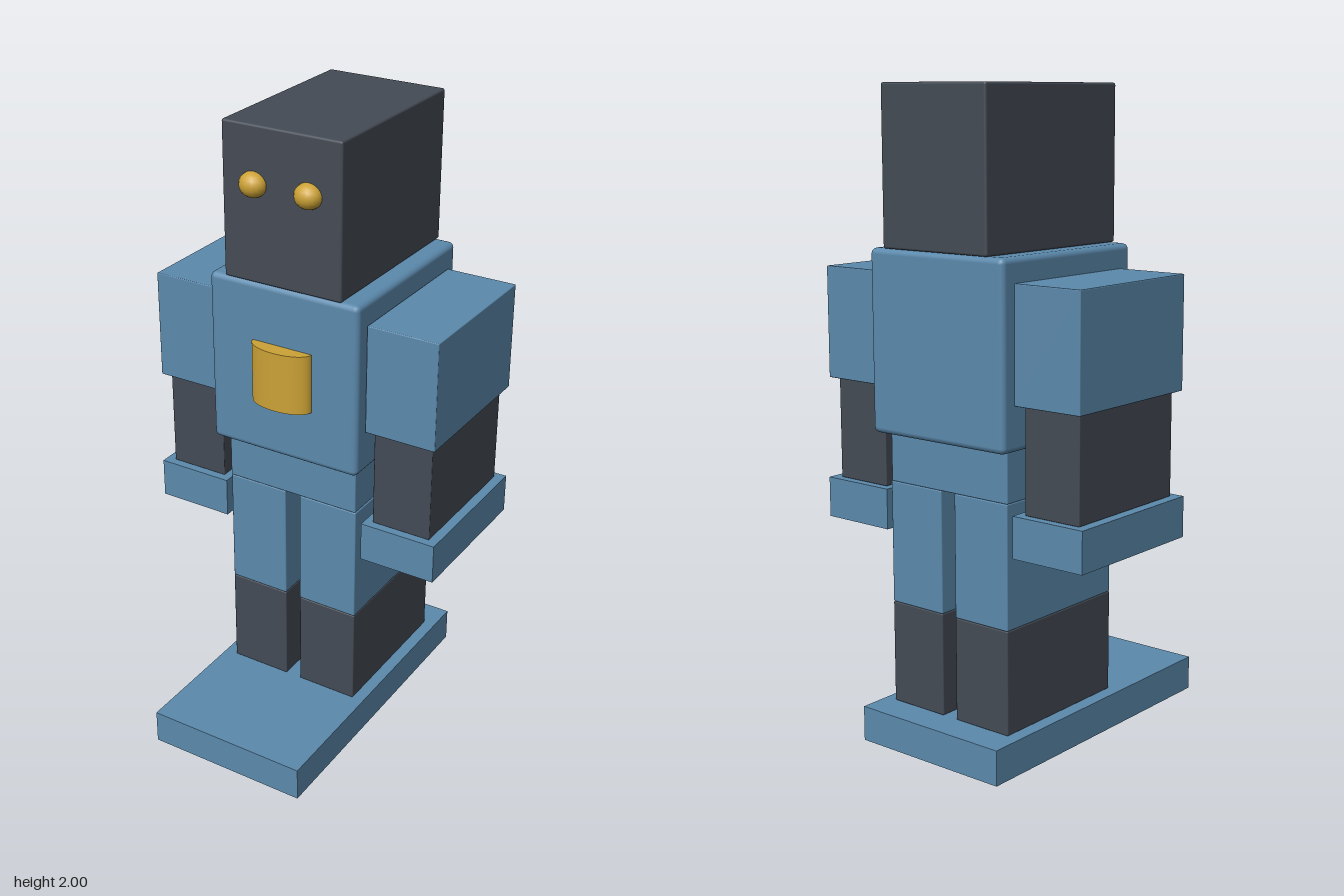
import * as THREE from 'three';
import { RoundedBoxGeometry } from 'three/addons/geometries/RoundedBoxGeometry.js';

export function createModel() {
  const robot = new THREE.Group();
  robot.name = 'robot';

  const paint = (name, color) => {
    const m = new THREE.MeshStandardMaterial({ color });
    m.name = name;
    return m;
  };
  const blue = paint('steel blue', 0x5b89ac);
  const dark = paint('charcoal', 0x444b55);
  const gold = paint('gold', 0xcca236);

  const add = (name, geometry, material) => {
    const mesh = new THREE.Mesh(geometry, material);
    mesh.name = name;
    robot.add(mesh);
    return mesh;
  };

  // Box given by its extents, with an optional softened edge
  const block = (name, material, [x0, x1], [y0, y1], [z0, z1], r = 0) => {
    const size = [x1 - x0, y1 - y0, z1 - z0];
    const geometry = r ? new RoundedBoxGeometry(...size, 2, r) : new THREE.BoxGeometry(...size);
    add(name, geometry, material).position.set((x0 + x1) / 2, (y0 + y1) / 2, (z0 + z1) / 2);
  };

  const limbDepth = [-0.4, 0.1];
  const bodyDepth = [-0.45, 0.148];

  // Base, hips, chest and head
  block('base', blue, [-0.27, 0.267], [0, 0.11], [-0.5, 0.5]);
  block('hips', blue, [-0.23, 0.227], [0.815, 0.975], limbDepth, 0.004);
  block('torso', blue, [-0.258, 0.255], [0.97, 1.525], bodyDepth, 0.018);
  block('head', dark, [-0.2, 0.198], [1.525, 2], bodyDepth, 0.007);

  // Elliptical chest plate, half sunk into the torso
  const plate = add('chestPlate', new THREE.CylinderGeometry(0.102, 0.102, 0.19, 48), gold);
  plate.scale.z = 0.5;
  plate.position.set(-0.002, 1.245, 0.148);

  // Mirrored limbs and eyes
  for (const [side, s] of [['left', 1], ['right', -1]]) {
    const span = (a, b) => (s > 0 ? [a, b] : [-b, -a]);
    block(side + 'UpperArm', blue, span(0.257, 0.489), [1.105, 1.452], limbDepth, 0.003);
    block(side + 'Forearm', dark, span(0.275, 0.47), [0.785, 1.105], [-0.375, 0.074], 0.003);
    block(side + 'Hand', blue, span(0.249, 0.5), [0.658, 0.785], limbDepth);
    block(side + 'Thigh', blue, span(0.026, 0.229), [0.433, 0.815], limbDepth, 0.004);
    block(side + 'Shin', dark, span(0.026, 0.229), [0.11, 0.433], limbDepth, 0.004);

    const eye = add(side + 'Eye', new THREE.SphereGeometry(0.044, 16, 12), gold);
    eye.scale.set(1, 0.88, 0.9);
    eye.position.set(s * 0.092 - 0.002, 1.826, 0.148);
  }

  return robot;
}
